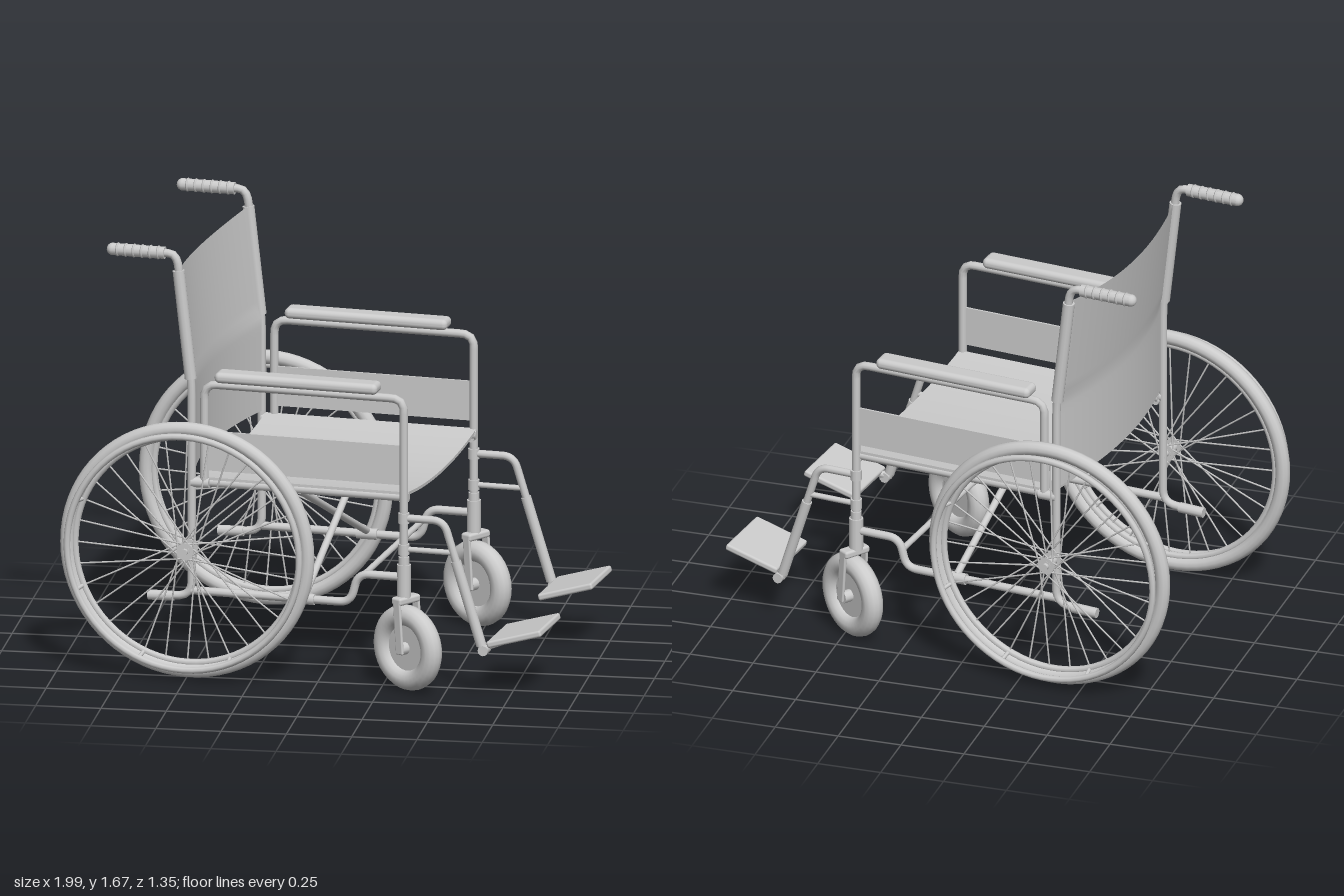
import * as THREE from 'three';
import { mergeGeometries } from 'three/addons/utils/BufferGeometryUtils.js';
import { RoundedBoxGeometry } from 'three/addons/geometries/RoundedBoxGeometry.js';

const solid = new THREE.MeshStandardMaterial({ color: 0xcccccc });
const sheet = new THREE.MeshStandardMaterial({ color: 0xcccccc, side: THREE.DoubleSide });
const V = (x, y, z) => new THREE.Vector3(x, y, z);
const R = 0.016; // frame tube radius

function add(parent, name, geometry, x = 0, y = 0, z = 0, material = solid) {
  const mesh = new THREE.Mesh(geometry, material);
  mesh.name = name;
  mesh.position.set(x, y, z);
  parent.add(mesh);
  return mesh;
}

// straight round bar between two points
function rodGeometry(a, b, radius, sides = 12) {
  const dir = b.clone().sub(a);
  const g = new THREE.CylinderGeometry(radius, radius, dir.length(), sides);
  g.applyQuaternion(new THREE.Quaternion().setFromUnitVectors(V(0, 1, 0), dir.normalize()));
  const mid = a.clone().add(b).multiplyScalar(0.5);
  return g.translate(mid.x, mid.y, mid.z);
}
const rod = (parent, name, a, b, radius = R) => add(parent, name, rodGeometry(a, b, radius));

// bent tube: straight runs joined by rounded corners, all at depth z
function bentTube(parent, name, xy, z, bend = 0.05, radius = R) {
  const pts = xy.map(([x, y]) => V(x, y, z));
  const path = new THREE.CurvePath();
  let from = pts[0];
  for (let i = 1; i < pts.length - 1; i++) {
    const p = pts[i];
    const toward = (q) => p.clone().add(q.clone().sub(p).setLength(Math.min(bend, p.distanceTo(q) * 0.45)));
    const a = toward(pts[i - 1]), b = toward(pts[i + 1]);
    path.add(new THREE.LineCurve3(from, a));
    path.add(new THREE.QuadraticBezierCurve3(a, p, b));
    from = b;
  }
  path.add(new THREE.LineCurve3(from, pts[pts.length - 1]));
  return add(parent, name, new THREE.TubeGeometry(path, 80, radius, 10), 0, 0, 0, sheet);
}

// large drive wheel with spokes and hand rim
function driveWheel(s) {
  const g = new THREE.Group();
  g.name = 'driveWheel';
  add(g, 'tyre', new THREE.TorusGeometry(0.472, 0.028, 12, 72));
  add(g, 'rim', new THREE.TorusGeometry(0.442, 0.014, 8, 72));
  add(g, 'handRim', new THREE.TorusGeometry(0.457, 0.013, 8, 72), 0, 0, s * 0.06);
  const spokes = [], pegs = [];
  const polar = (r, a, z) => V(r * Math.cos(a), r * Math.sin(a), z);
  for (let i = 0; i < 32; i++) {
    const a = (i / 32) * Math.PI * 2;
    const lean = i % 4 < 2 ? 1.1 : -1.1;
    spokes.push(rodGeometry(polar(0.03, a + lean, i % 2 ? 0.03 : -0.03), polar(0.44, a, 0), 0.0035, 5));
  }
  for (let i = 0; i < 8; i++) {
    const a = ((i + 0.5) / 8) * Math.PI * 2;
    pegs.push(rodGeometry(polar(0.442, a, 0), polar(0.457, a, s * 0.06), 0.008, 8));
  }
  add(g, 'spokes', mergeGeometries(spokes));
  add(g, 'handRimPegs', mergeGeometries(pegs));
  rod(g, 'hub', V(0, 0, -0.035), V(0, 0, 0.035), 0.02);
  for (const z of [-0.03, 0.03]) rod(g, 'hubFlange', V(0, 0, z - 0.004), V(0, 0, z + 0.004), 0.034);
  rod(g, 'axle', V(0, 0, -s * 0.07), V(0, 0, s * 0.05), 0.013);
  return g;
}

// swivelling front wheel in its fork
function caster() {
  const g = new THREE.Group();
  g.name = 'caster';
  add(g, 'casterTyre', new THREE.TorusGeometry(0.125, 0.041, 14, 36), 0, 0.175, 0);
  rod(g, 'casterDisc', V(0, 0.175, -0.014), V(0, 0.175, 0.014), 0.1);
  rod(g, 'casterHub', V(0, 0.175, -0.05), V(0, 0.175, 0.05), 0.024);
  for (const s of [-1, 1]) {
    const blade = add(g, 'forkBlade', new RoundedBoxGeometry(0.036, 0.21, 0.012, 2, 0.005), 0, 0.262, s * 0.051);
    blade.rotation.z = 0.08;
  }
  add(g, 'forkCrown', new RoundedBoxGeometry(0.05, 0.03, 0.114, 2, 0.01), -0.01, 0.362, 0);
  return g;
}

export function createModel() {
  const model = new THREE.Group();
  model.name = 'wheelchair';
  const chair = new THREE.Group();
  chair.name = 'chair';
  chair.position.set(-0.005, 0, 0.03);
  chair.rotation.y = -0.122;
  model.add(chair);

  for (const s of [-1, 1]) {
    const z = s * 0.478;
    const side = new THREE.Group();
    side.name = s > 0 ? 'rightSide' : 'leftSide';
    chair.add(side);

    // back upright with push handle above and tipping stub below
    bentTube(side, 'backTube', [[-0.57, 0.305], [-0.43, 0.315], [-0.43, 1.14], [-0.488, 1.65], [-0.56, 1.65]], z, 0.055);
    rod(side, 'tippingStub', V(-0.6, 0.305, z), V(-0.5, 0.308, z), 0.02);
    rod(side, 'pushGrip', V(-0.742, 1.65, z), V(-0.535, 1.65, z), 0.024);
    for (let i = 0; i < 6; i++) {
      const ring = add(side, 'gripRidge', new THREE.TorusGeometry(0.022, 0.005, 6, 16), -0.72 + i * 0.032, 1.65, z);
      ring.rotation.y = Math.PI / 2;
    }
    add(side, 'gripEnd', new THREE.SphereGeometry(0.024, 14, 8), -0.74, 1.65, z);
    rod(side, 'backSleeve', V(-0.434, 1.165, z), V(-0.482, 1.585, z), 0.023);

    // armrest loop running down into the front post
    bentTube(side, 'armTube', [[-0.38, 0.75], [-0.38, 1.148], [0.405, 1.148], [0.405, 0.37]], z, 0.05);
    add(side, 'armPad', new RoundedBoxGeometry(0.64, 0.042, 0.085, 4, 0.019), -0.012, 1.184, z);
    add(side, 'sidePanel', new THREE.BoxGeometry(0.785, 0.155, 0.008), 0.012, 0.888, z);
    rod(side, 'armSocket', V(-0.43, 0.76, z), V(-0.36, 0.76, z), 0.02);
    rod(side, 'casterHousing', V(0.405, 0.37, z), V(0.405, 0.5, z), 0.027);
    rod(side, 'postCollar', V(0.405, 0.5, z), V(0.405, 0.53, z), 0.021);

    // lower rail with the raised front section, and the seat rail
    bentTube(side, 'lowerRail', [[-0.43, 0.335], [0.195, 0.335], [0.225, 0.45], [0.405, 0.45]], z, 0.045);
    rod(side, 'seatRail', V(-0.42, 0.76, s * 0.462), V(0.42, 0.76, s * 0.462), 0.018);
    for (const x of [-0.41, 0.4]) rod(side, 'seatRailBracket', V(x, 0.745, s * 0.45), V(x, 0.745, z), 0.014);

    // crossing brace under the seat
    const bx = s * 0.014;
    rod(side, 'crossBrace', V(bx, 0.345, z), V(bx, 0.75, -s * 0.45), 0.014);
    rod(side, 'braceFoot', V(bx - 0.04, 0.335, z), V(bx + 0.04, 0.335, z), 0.022);

    // leg hanger and footplate
    bentTube(side, 'legHanger', [[0.405, 0.682], [0.562, 0.682], [0.716, 0.185]], z, 0.045, 0.015);
    rod(side, 'hangerSleeve', V(0.61, 0.527, z), V(0.71, 0.205, z), 0.02);
    rod(side, 'hangerLink', V(0.405, 0.56, z), V(0.6, 0.56, z), 0.011);
    for (const y of [0.682, 0.56]) rod(side, 'hangerClamp', V(0.405, y - 0.02, z), V(0.405, y + 0.02, z), 0.022);
    rod(side, 'plateHinge', V(0.722, 0.19, z - 0.025), V(0.722, 0.19, z + 0.025), 0.02);
    rod(side, 'plateArm', V(0.718, 0.195, s * 0.47), V(0.8, 0.222, s * 0.43), 0.014);
    const plate = add(side, 'footplate', new RoundedBoxGeometry(0.222, 0.026, 0.276, 2, 0.009), 0.839, 0.24, s * 0.351);
    plate.rotation.z = 0.28;

    const wheel = driveWheel(s);
    wheel.position.set(-0.43, 0.51, s * 0.538);
    side.add(wheel);
    const front = caster();
    front.position.set(0.42, 0, s * 0.476);
    front.rotation.y = -0.5;
    side.add(front);
  }
  rod(chair, 'frontCrossBar', V(0.21, 0.41, -0.478), V(0.21, 0.41, 0.478), 0.012);

  // sagging seat sling
  const seat = new THREE.BoxGeometry(0.83, 0.012, 0.95, 8, 1, 20);
  const p = seat.attributes.position;
  for (let i = 0; i < p.count; i++) {
    const t = p.getZ(i) / 0.475;
    p.setY(i, p.getY(i) + 0.776 - 0.035 * (1 - t * t));
  }
  seat.computeVertexNormals();
  add(chair, 'seat', seat, 0.002, 0, 0);

  // back sling: bows rearward, narrower beside the armrests
  const back = new THREE.PlaneGeometry(2, 1, 20, 24);
  const q = back.attributes.position;
  for (let i = 0; i < q.count; i++) {
    const t = q.getX(i), v = q.getY(i) + 0.5;
    const bow = 1 - t * t;
    const y = 0.79 + 0.8 * v - 0.03 * bow * v;
    const half = v > 0.47 ? 0.484 : 0.46;
    const lean = Math.max(0, y - 1.14) * 0.114;
    q.setXYZ(i, -0.425 - lean - 0.055 * bow, y, t * half);
  }
  back.computeVertexNormals();
  add(chair, 'backrest', back, 0, 0, 0, sheet);

  return model;
}
